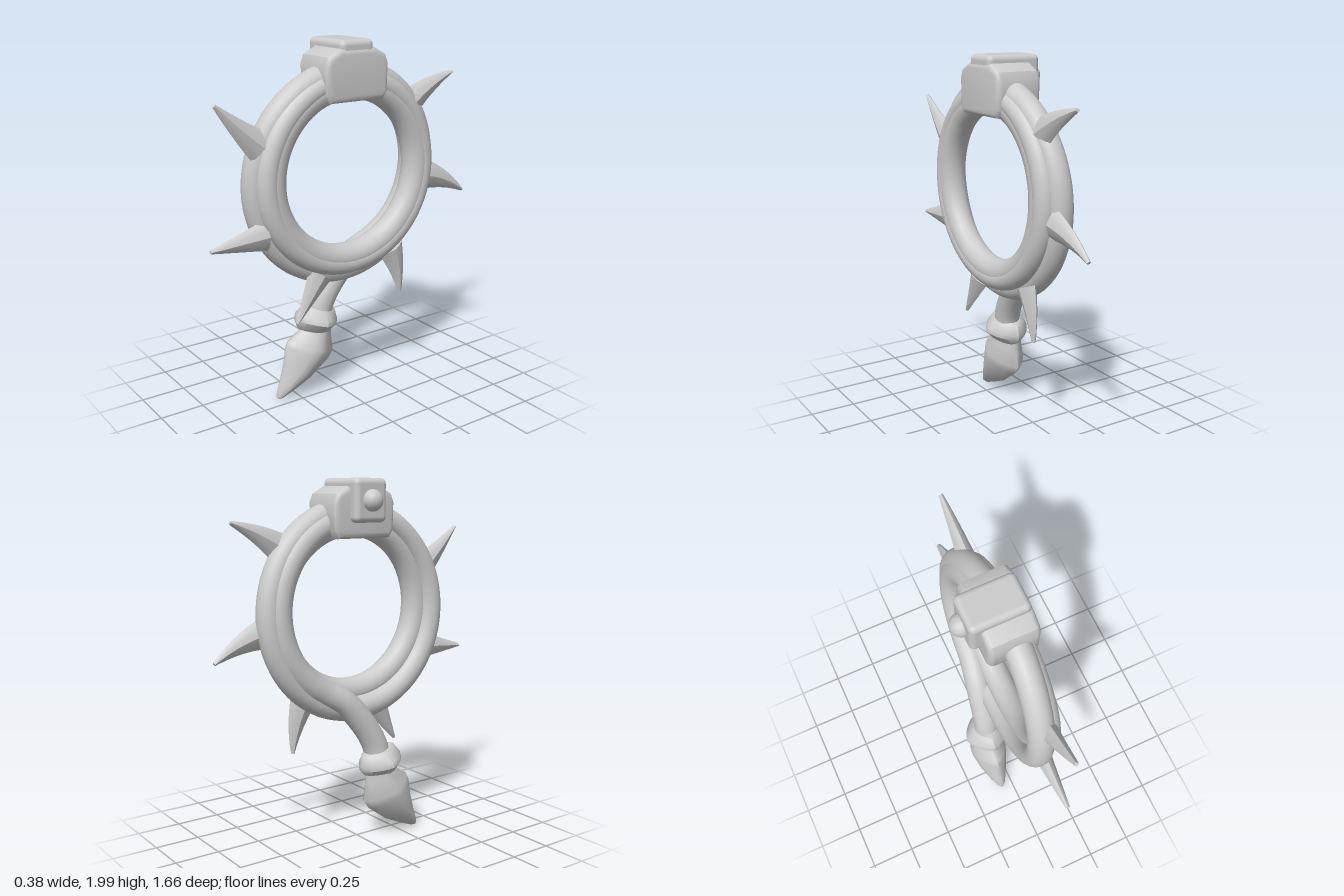
import * as THREE from 'three';
import { toCreasedNormals } from 'three/addons/utils/BufferGeometryUtils.js';
import { RoundedBoxGeometry } from 'three/addons/geometries/RoundedBoxGeometry.js';

const V = (x, y, z) => new THREE.Vector3(x, y, z);
const material = new THREE.MeshStandardMaterial({ color: 0xcccccc });
const CENTER_Y = 1.3, CENTER_Z = 0.01;

function add(group, name, geometry) {
  const mesh = new THREE.Mesh(geometry, material);
  mesh.name = name;
  group.add(mesh);
  return mesh;
}

// Skin a row of sections; each ring has a centre c, a direction t in the YZ plane,
// a half width hx along x and a half width hw across t. power 1 = diamond, 2 = ellipse.
function loft(rings, power, sides, crease) {
  const pos = [], index = [];
  const X = V(1, 0, 0);
  for (const { c, t, hx, hw } of rings) {
    const v = t.clone().normalize().cross(X);
    for (let j = 0; j < sides; j++) {
      const a = (j / sides) * Math.PI * 2;
      const ca = Math.cos(a), sa = Math.sin(a);
      const k = Math.pow(Math.pow(Math.abs(ca), power) + Math.pow(Math.abs(sa), power), -1 / power);
      const p = c.clone().addScaledVector(X, ca * k * hx).addScaledVector(v, sa * k * hw);
      pos.push(p.x, p.y, p.z);
    }
  }
  for (let i = 0; i < rings.length - 1; i++) {
    for (let j = 0; j < sides; j++) {
      const a = i * sides + j, b = i * sides + (j + 1) % sides;
      index.push(a, b, a + sides, b, b + sides, a + sides);
    }
  }
  // End caps
  const last = (rings.length - 1) * sides;
  for (let j = 1; j < sides - 1; j++) {
    index.push(0, j + 1, j, last, last + j, last + j + 1);
  }
  const g = new THREE.BufferGeometry();
  g.setAttribute('position', new THREE.Float32BufferAttribute(pos, 3));
  g.setIndex(index);
  return toCreasedNormals(g, crease);
}

// Points on a coil; angle runs from the top through the back to the bottom
function coilPoints(to, radiusAt, xAt, steps) {
  const pts = [];
  for (let i = 0; i <= steps; i++) {
    const a = to * i / steps, r = radiusAt(a);
    pts.push(V(xAt(a), CENTER_Y + r * Math.cos(a), CENTER_Z - r * Math.sin(a)));
  }
  return pts;
}

function tube(points, radius) {
  return new THREE.TubeGeometry(new THREE.CatmullRomCurve3(points), 128, radius, 20);
}

function createModel() {
  const model = new THREE.Group();
  model.name = 'coiledWhip';
  const PI = Math.PI;

  // Inner, middle and outer coils, all closing inside the clasp
  add(model, 'innerCoil', tube(coilPoints(2 * PI, () => 0.465, () => 0.085, 32), 0.075));
  add(model, 'middleCoil', tube(coilPoints(2 * PI, () => 0.497, () => 0.1, 32), 0.062));
  add(model, 'outerCoil', tube(coilPoints(2 * PI,
    a => 0.53 + 0.022 * Math.pow(Math.sin(a / 2), 4),
    a => 0.027 + 0.045 * Math.pow(Math.cos(a / 2), 4), 32), 0.07));

  // Half turn on the back that peels away at the bottom into the tail
  const tail = coilPoints(0.85 * PI, () => 0.49, a => 0.055 - 0.021 * a, 14);
  tail.push(V(-0.02, 0.8, -0.1), V(-0.035, 0.69, 0), V(-0.047, 0.56, 0.08), V(-0.058, 0.42, 0.12));
  add(model, 'tail', tube(tail, 0.072));

  // Clasp block with rounded shoulders
  const outline = new THREE.Shape([
    [-0.15, 1.715], [0.15, 1.715], [0.163, 1.735], [0.167, 1.87], [0.155, 1.9], [0.1, 1.93],
    [-0.1, 1.93], [-0.155, 1.9], [-0.167, 1.87], [-0.163, 1.735],
  ].map(([x, y]) => new THREE.Vector2(x, y)));
  const block = new THREE.ExtrudeGeometry(outline, {
    depth: 0.205, bevelThickness: 0.03, bevelSize: 0.028, bevelSegments: 4,
  });
  block.rotateY(PI / 2).translate(-0.05, 0, 0.005);
  add(model, 'claspBlock', toCreasedNormals(block, 0.6));

  // Cross block and its button
  add(model, 'claspCrossBlock', new RoundedBoxGeometry(0.31, 0.23, 0.205, 4, 0.03))
    .position.set(0.023, 1.885, 0.005);
  add(model, 'claspButton', new THREE.SphereGeometry(0.058, 24, 16))
    .position.set(-0.132, 1.885, 0.005);

  // Curved thorns: base, bend and tip as [z, y]
  const thorns = [
    [[0.53, 1.5], [0.645, 1.59], [0.775, 1.725]],
    [[0.51, 1.04], [0.65, 1.025], [0.825, 1.01]],
    [[0.18, 0.76], [0.245, 0.65], [0.33, 0.51]],
    [[-0.3, 0.82], [-0.36, 0.68], [-0.37, 0.535]],
    [[-0.54, 1.21], [-0.69, 1.175], [-0.825, 1.082]],
    [[-0.42, 1.635], [-0.55, 1.725], [-0.715, 1.78]],
  ];
  for (const thorn of thorns) {
    const curve = new THREE.QuadraticBezierCurve3(...thorn.map(([z, y]) => V(0.08, y, z)));
    const rings = [];
    for (let i = 0; i <= 10; i++) {
      const s = i / 10, w = Math.pow(1 - s, 0.95);
      rings.push({ c: curve.getPoint(s), t: curve.getTangent(s), hx: 0.012 + 0.036 * w, hw: 0.01 + 0.075 * w });
    }
    add(model, 'thorn', loft(rings, 1.35, 12, 0.6));
  }

  // Faceted collar around the tail: [distance along axis, half x, half width]
  const axis = V(0, -0.97, 0.23);
  const collar = [
    [-0.07, 0.07, 0.095], [-0.06, 0.085, 0.112], [-0.01, 0.126, 0.136],
    [0.015, 0.128, 0.137], [0.06, 0.085, 0.112], [0.07, 0.07, 0.095],
  ].map(([s, hx, hw]) => ({ c: V(-0.06, 0.445, 0.118).addScaledVector(axis, s), t: axis, hx, hw }));
  add(model, 'tailCollar', loft(collar, 1.5, 24, 0.6));

  // Ridged blade at the end: [y, z, half x, half width, direction y, direction z]
  const blade = [
    [0.4, 0.107, 0.075, 0.095, -0.97, 0.23],
    [0.36, 0.117, 0.082, 0.105, -0.96, 0.27],
    [0.28, 0.152, 0.11, 0.16, -0.93, 0.36],
    [0.245, 0.175, 0.108, 0.155, -0.9, 0.43],
    [0.15, 0.245, 0.085, 0.105, -0.8, 0.6],
    [0.07, 0.318, 0.05, 0.055, -0.75, 0.66],
    [0.025, 0.362, 0.024, 0.025, -0.72, 0.7],
    [0.012, 0.375, 0.01, 0.01, -0.72, 0.7],
  ].map(([y, z, hx, hw, ty, tz]) => ({ c: V(-0.067, y, z), t: V(0, ty, tz), hx, hw }));
  add(model, 'tailBlade', loft(blade, 1.45, 24, 0.9));

  return model;
}

export { createModel };
